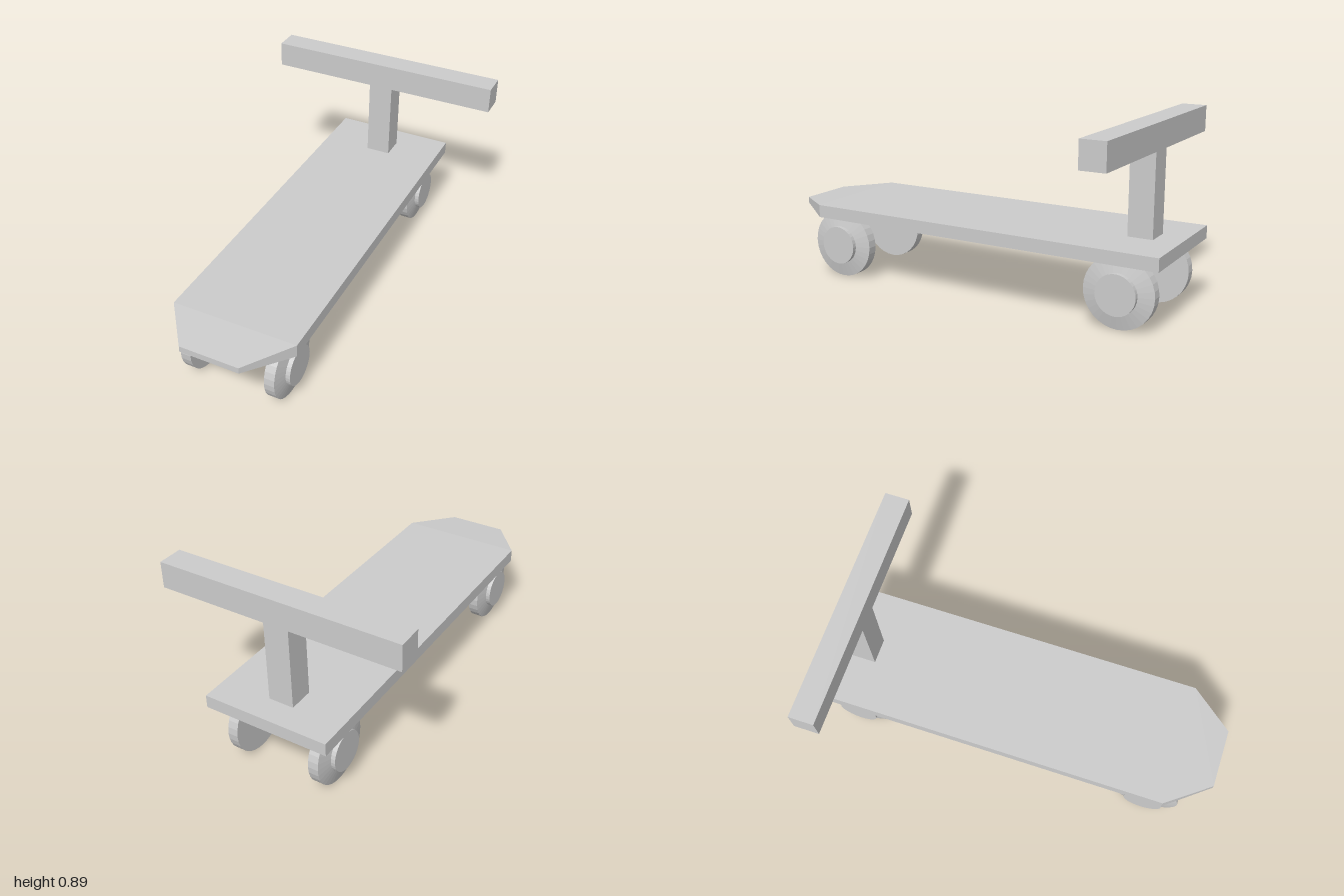
import * as THREE from 'three';

const material = new THREE.MeshStandardMaterial({ color: 0xcccccc, flatShading: true });

function addMesh(parent, name, geometry, x, y, z) {
  const mesh = new THREE.Mesh(geometry, material);
  mesh.name = name;
  mesh.position.set(x, y, z);
  parent.add(mesh);
  return mesh;
}

// Flat board whose front end narrows and thins into a nose
function deckGeometry() {
  const geometry = new THREE.BoxGeometry(0.61, 0.062, 2, 1, 1, 2);
  const p = geometry.attributes.position;
  for (let i = 0; i < p.count; i++) {
    if (p.getZ(i) > 0.5) {
      p.setX(i, Math.sign(p.getX(i)) * 0.144);
      p.setY(i, Math.sign(p.getY(i)) * 0.015);
    } else if (p.getZ(i) > -0.5) {
      p.setZ(i, 0.79);
    }
  }
  geometry.computeVertexNormals();
  return geometry;
}

// Wheel profile, inner face to hub cap: [radius, distance from centre line]
const wheelProfile = [
  [0, 0.185], [0.167, 0.185], [0.167, 0.235], [0.095, 0.252], [0.095, 0.273], [0, 0.273],
].map(([r, d]) => new THREE.Vector2(r, d));

export function createModel() {
  const model = new THREE.Group();
  model.name = 'scooter';

  addMesh(model, 'deck', deckGeometry(), 0, 0.341, 0);

  // T-shaped handle near the back
  const handle = new THREE.Group();
  handle.name = 'handle';
  model.add(handle);
  addMesh(handle, 'stem', new THREE.BoxGeometry(0.122, 0.39, 0.119), 0, 0.566, -0.818);
  addMesh(handle, 'crossbar', new THREE.BoxGeometry(1.168, 0.125, 0.119), 0, 0.8235, -0.818);

  // Four wheels, hubs facing outwards
  const wheelGeometry = new THREE.LatheGeometry(wheelProfile, 32);
  for (const [end, z] of [['front', 0.705], ['back', -0.797]]) {
    for (const [side, s] of [['Left', 1], ['Right', -1]]) {
      const wheel = addMesh(model, `${end}${side}Wheel`, wheelGeometry, 0, 0.167, z);
      wheel.rotation.z = -s * Math.PI / 2;
    }
  }
  return model;
}
